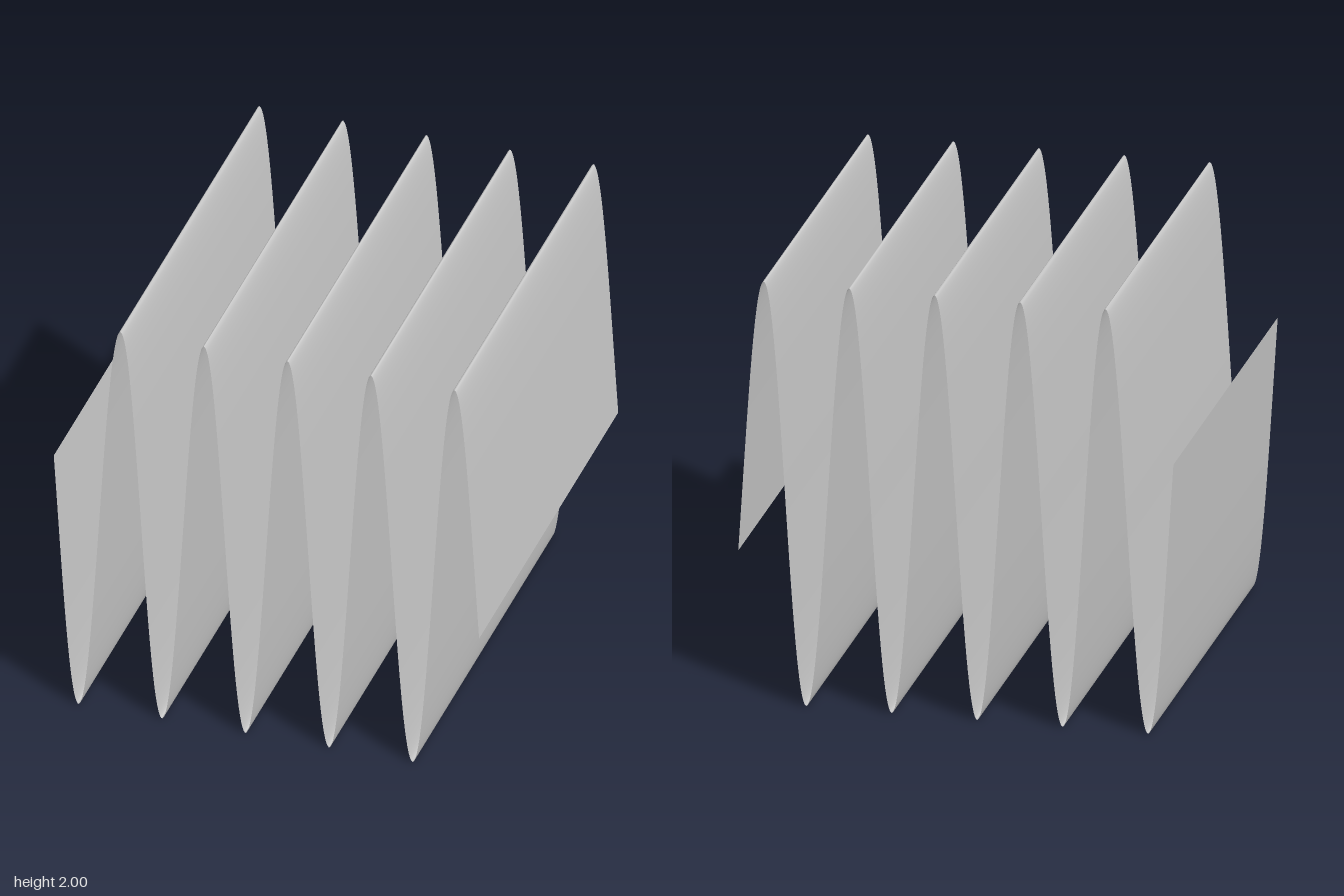
import * as THREE from 'three';

export function createModel() {
  const group = new THREE.Group();
  group.name = 'corrugatedSheet';

  // Flat square sheet, bent into a sine wave that runs along x
  const geometry = new THREE.PlaneGeometry(2, 2, 320, 20);
  geometry.rotateX(-Math.PI / 2);
  const frequency = 16;
  const position = geometry.attributes.position;
  const normal = geometry.attributes.normal;
  const n = new THREE.Vector3();
  for (let i = 0; i < position.count; i++) {
    const angle = frequency * position.getX(i);
    position.setY(i, 1 + Math.sin(angle));
    // Smooth normal from the slope of the wave
    n.set(-frequency * Math.cos(angle), 1, 0).normalize();
    normal.setXYZ(i, n.x, n.y, n.z);
  }

  const material = new THREE.MeshStandardMaterial({ color: 0xcccccc, side: THREE.DoubleSide });
  const sheet = new THREE.Mesh(geometry, material);
  sheet.name = 'waveSheet';
  group.add(sheet);
  return group;
}
